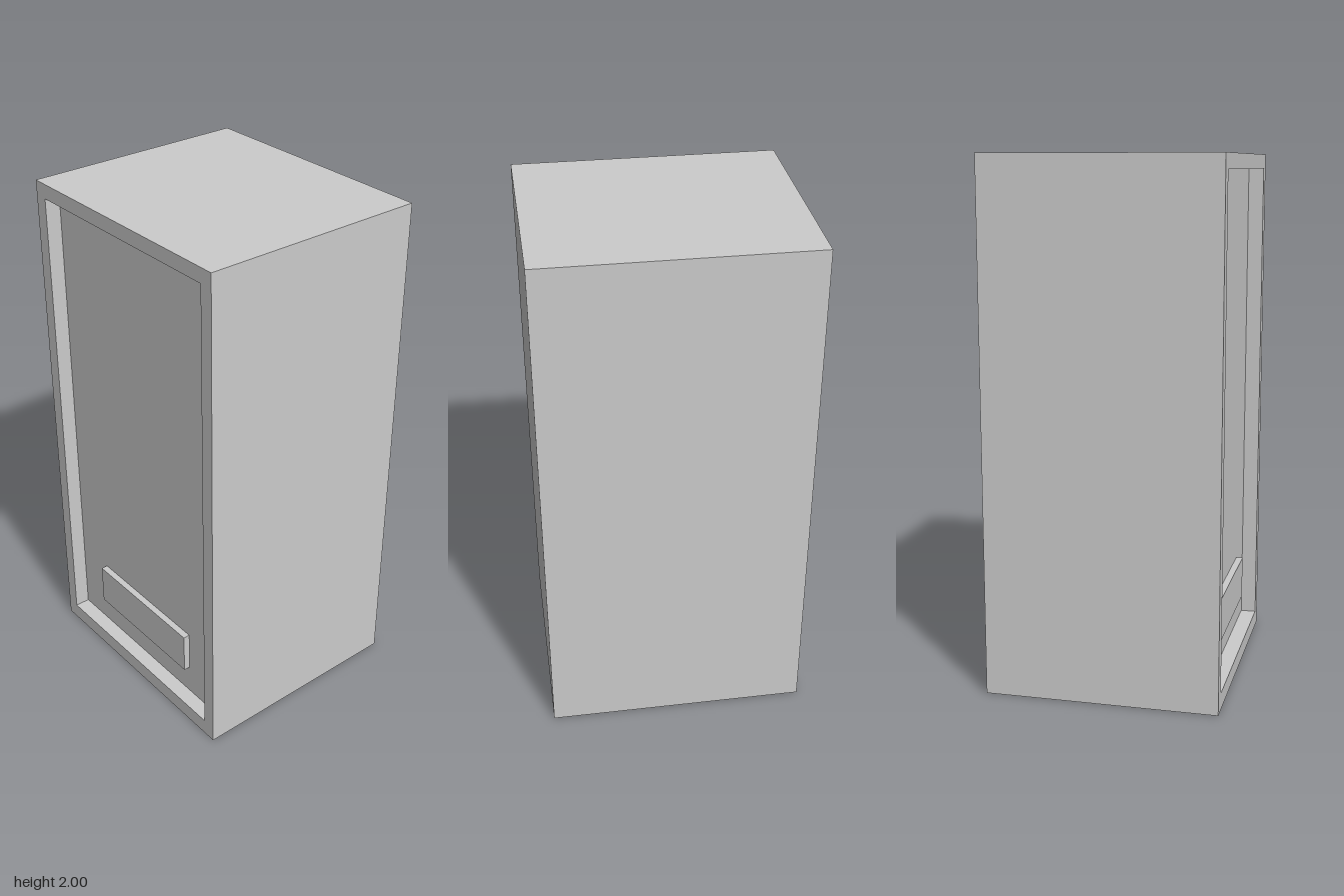
import * as THREE from 'three';

const WIDTH = 1, HEIGHT = 2, DEPTH = 0.885;
const FRONT = DEPTH / 2;
const RECESS = { w: 0.894, h: 1.88, y: 1.004, depth: 0.06 };

const material = new THREE.MeshStandardMaterial({ color: 0xcccccc });

function addPart(group, name, geometry, x, y, z) {
  const mesh = new THREE.Mesh(geometry, material);
  mesh.name = name;
  mesh.position.set(x, y, z);
  group.add(mesh);
}

// Box without its +z face; inward turns the walls to face the inside
function openBox(w, h, d, inward = false) {
  const geometry = new THREE.BoxGeometry(w, h, d);
  const index = Array.from(geometry.index.array);
  index.splice(24, 6);
  if (inward) index.reverse();
  geometry.setIndex(index);
  geometry.clearGroups();
  geometry.computeVertexNormals();
  return geometry;
}

function rectangle(path, w, h, y) {
  path.moveTo(-w / 2, y - h / 2);
  path.lineTo(w / 2, y - h / 2);
  path.lineTo(w / 2, y + h / 2);
  path.lineTo(-w / 2, y + h / 2);
  path.closePath();
  return path;
}

export function createModel() {
  const group = new THREE.Group();
  group.name = 'cabinet';

  // Outer sides, top, bottom and back
  addPart(group, 'cabinetShell', openBox(WIDTH, HEIGHT, DEPTH), 0, HEIGHT / 2, 0);

  // Narrow rim around the front opening
  const rim = rectangle(new THREE.Shape(), WIDTH, HEIGHT, HEIGHT / 2);
  rim.holes.push(rectangle(new THREE.Path(), RECESS.w, RECESS.h, RECESS.y));
  addPart(group, 'frontRim', new THREE.ShapeGeometry(rim), 0, 0, FRONT);

  // Shallow recess with the front panel as its floor
  addPart(group, 'recessedPanel', openBox(RECESS.w, RECESS.h, RECESS.depth, true),
    0, RECESS.y, FRONT - RECESS.depth / 2);

  // Raised flap low on the panel
  const flapDepth = 0.026;
  addPart(group, 'flap', new THREE.BoxGeometry(0.558, 0.166, flapDepth),
    0, 0.272, FRONT - RECESS.depth + flapDepth / 2);

  return group;
}
